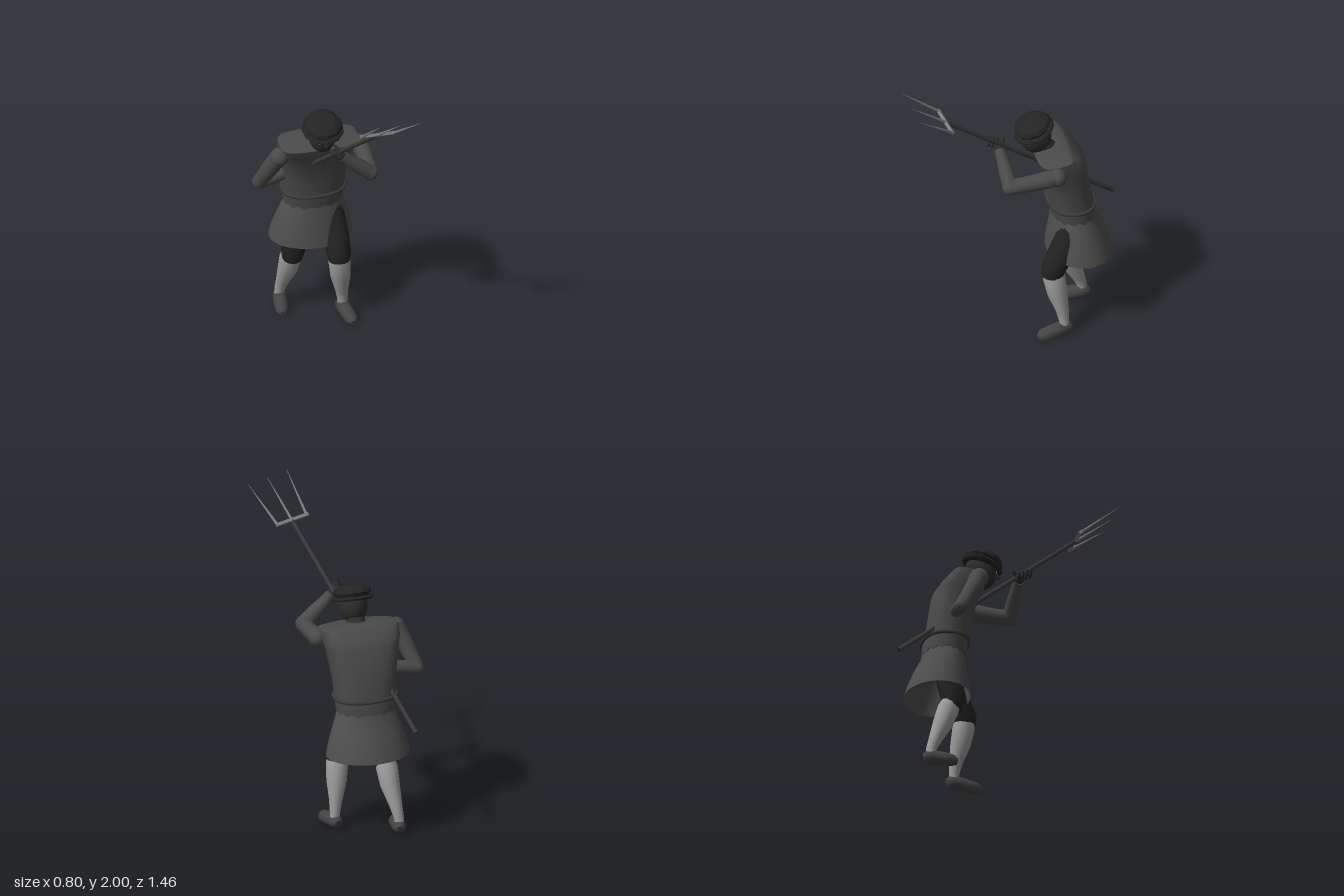
import * as THREE from 'three';
import { toCreasedNormals } from 'three/addons/utils/BufferGeometryUtils.js';

const V = (p) => new THREE.Vector3(...p);

const makeMat = (name, color, side = THREE.FrontSide) => {
  const m = new THREE.MeshStandardMaterial({ color, side });
  m.name = name;
  return m;
};

// Skin a stack of rings, optionally closing both ends
function skin(rings, caps = true) {
  const n = rings[0].length, pos = [], idx = [];
  rings.forEach((r) => r.forEach((p) => pos.push(p.x, p.y, p.z)));
  for (let i = 0; i < rings.length - 1; i++) {
    for (let j = 0; j < n; j++) {
      const k = (j + 1) % n, a = i * n + j, b = i * n + k;
      idx.push(a, b, a + n, b, b + n, a + n);
    }
  }
  if (caps) {
    [0, rings.length - 1].forEach((i, end) => {
      const c = new THREE.Vector3();
      rings[i].forEach((p) => c.addScaledVector(p, 1 / n));
      const m = pos.length / 3;
      pos.push(c.x, c.y, c.z);
      for (let j = 0; j < n; j++) {
        const a = i * n + j, b = i * n + ((j + 1) % n);
        if (end) idx.push(m, a, b); else idx.push(m, b, a);
      }
    });
  }
  const g = new THREE.BufferGeometry();
  g.setAttribute('position', new THREE.Float32BufferAttribute(pos, 3));
  g.setIndex(idx);
  return toCreasedNormals(g, 0.85);
}

// Round limb through rows of [x, y, z, radius]
function limb(rows, sides = 12, floor = -1) {
  const pts = rows.map((r) => V(r.slice(0, 3)));
  const last = pts.length - 1;
  const d = pts[last].clone().sub(pts[0]).toArray().map(Math.abs);
  const ref = new THREE.Vector3().setComponent(d.indexOf(Math.min(...d)), 1);
  return skin(pts.map((p, i) => {
    const w = pts[Math.min(i + 1, last)].clone().sub(pts[Math.max(i - 1, 0)]).normalize();
    const u = ref.clone().addScaledVector(w, -ref.dot(w)).normalize();
    const v = w.clone().cross(u);
    return Array.from({ length: sides }, (_, j) => {
      const a = (j / sides) * Math.PI * 2;
      const q = p.clone().addScaledVector(u, Math.cos(a) * rows[i][3]).addScaledVector(v, Math.sin(a) * rows[i][3]);
      q.y = Math.max(q.y, floor);
      return q;
    });
  }));
}

// Body section rows: [front y, front z, back y, back z, half width, squareness, hem ripple]
function trunk(rows, sides, caps) {
  return skin(rows.map(([fy, fz, by, bz, hw, e = 1, ripple = 0]) =>
    Array.from({ length: sides }, (_, j) => {
      const a = (j / sides) * Math.PI * 2;
      const pw = (t) => Math.sign(t) * Math.abs(t) ** e;
      const c = pw(Math.cos(a)), s = pw(Math.sin(a));
      return new THREE.Vector3(hw * s, (fy + by) / 2 + c * (fy - by) / 2 + ripple * (j % 2 ? 1 : -1),
        (fz + bz) / 2 + c * (fz - bz) / 2);
    })), caps);
}

export function createModel() {
  const root = new THREE.Group();
  root.name = 'farmerWithPitchfork';
  const cloth = makeMat('tunic cloth', 0x4a4a4a);
  const skirtCloth = makeMat('skirt cloth', 0x4e4e4e, THREE.DoubleSide);
  const dark = makeMat('dark breeches', 0x222222);
  const skinMat = makeMat('dark skin', 0x2c2c2c);
  const hatMat = makeMat('hat felt', 0x242424);
  const sock = makeMat('pale stocking', 0x9c9c9c);
  const leather = makeMat('shoe leather', 0x444444);
  const wood = makeMat('dark wood', 0x3a3a3a);
  const metal = makeMat('fork metal', 0x7c7c7c);
  const add = (name, geo, mat, parent = root) => {
    const m = new THREE.Mesh(geo, mat);
    m.name = name;
    parent.add(m);
    return m;
  };

  // Leaning tunic with a square yoke
  add('tunic', trunk([
    [0.82, -0.265, 0.82, -0.535, 0.185, 0.9, 0.008],
    [0.915, -0.25, 0.915, -0.53, 0.195, 0.85],
    [1.02, -0.235, 1.02, -0.505, 0.2, 0.8],
    [1.2, -0.195, 1.235, -0.47, 0.23, 0.7],
    [1.25, -0.165, 1.28, -0.435, 0.245, 0.6],
    [1.315, -0.145, 1.345, -0.375, 0.25, 0.5],
    [1.33, -0.16, 1.36, -0.355, 0.17, 0.6],
    [1.335, -0.2, 1.355, -0.3, 0.07, 0.9],
  ], 28, true), cloth);

  // Flared open skirt
  add('skirt', trunk([
    [0.84, -0.275, 0.84, -0.53, 0.17],
    [0.8, -0.268, 0.8, -0.54, 0.19],
    [0.7, -0.255, 0.7, -0.59, 0.225],
    [0.6, -0.24, 0.6, -0.632, 0.255],
    [0.54, -0.235, 0.54, -0.65, 0.267],
  ].reverse(), 32, false), skirtCloth);

  // Rope belt
  const loop = Array.from({ length: 20 }, (_, i) => {
    const a = (i / 20) * Math.PI * 2;
    const p = (t) => Math.sign(t) * Math.abs(t) ** 0.85;
    return new THREE.Vector3(0.197 * p(Math.sin(a)), 0.912, -0.39 + 0.142 * p(Math.cos(a)));
  });
  add('belt', new THREE.TubeGeometry(new THREE.CatmullRomCurve3(loop, true), 48, 0.013, 8, true), wood);

  // Legs: the left one steps forward
  const legs = {
    left: {
      thigh: [[0.1, 0.82, -0.385, 0.06], [0.115, 0.7, -0.345, 0.078], [0.125, 0.56, -0.285, 0.083], [0.13, 0.47, -0.243, 0.077], [0.132, 0.43, -0.24, 0.066]],
      shin: [[0.13, 0.46, -0.243, 0.062], [0.135, 0.41, -0.25, 0.07], [0.145, 0.3, -0.268, 0.064], [0.16, 0.18, -0.295, 0.042], [0.168, 0.1, -0.305, 0.032], [0.17, 0.05, -0.305, 0.032]],
      foot: [[0.163, 0.04, -0.35, 0.025], [0.165, 0.045, -0.335, 0.04], [0.17, 0.048, -0.295, 0.045], [0.182, 0.035, -0.22, 0.046], [0.192, 0.026, -0.16, 0.04], [0.196, 0.02, -0.13, 0.02]],
    },
    right: {
      thigh: [[-0.1, 0.82, -0.41, 0.06], [-0.115, 0.7, -0.4, 0.078], [-0.13, 0.56, -0.375, 0.08], [-0.135, 0.47, -0.362, 0.075], [-0.137, 0.41, -0.372, 0.064]],
      shin: [[-0.137, 0.45, -0.375, 0.06], [-0.142, 0.4, -0.395, 0.069], [-0.15, 0.3, -0.43, 0.063], [-0.17, 0.18, -0.48, 0.042], [-0.182, 0.1, -0.51, 0.032], [-0.184, 0.05, -0.51, 0.032]],
      foot: [[-0.175, 0.04, -0.555, 0.025], [-0.177, 0.045, -0.54, 0.04], [-0.181, 0.048, -0.5, 0.045], [-0.193, 0.035, -0.43, 0.046], [-0.2, 0.026, -0.375, 0.04], [-0.203, 0.02, -0.345, 0.02]],
    },
  };
  for (const [side, l] of Object.entries(legs)) {
    add(side + 'Breeches', limb(l.thigh, 14), dark);
    add(side + 'Stocking', limb(l.shin, 14), sock);
    add(side + 'Shoe', limb(l.foot, 12, 0), leather);
  }

  // Sleeves with rounded shoulders and elbows
  const arms = {
    left: {
      shoulder: [0.26, 1.268, -0.24, 0.06],
      upper: [[0.255, 1.268, -0.26, 0.057], [0.262, 1.262, -0.15, 0.056], [0.258, 1.25, -0.03, 0.05], [0.25, 1.242, 0.06, 0.05]],
      elbow: [0.25, 1.24, 0.062, 0.05],
      fore: [[0.25, 1.24, 0.062, 0.049], [0.18, 1.3, 0.068, 0.047], [0.11, 1.36, 0.075, 0.039], [0.062, 1.405, 0.082, 0.033]],
    },
    right: {
      shoulder: [-0.26, 1.265, -0.22, 0.06],
      upper: [[-0.255, 1.275, -0.22, 0.058], [-0.295, 1.19, -0.255, 0.056], [-0.335, 1.09, -0.305, 0.049], [-0.355, 1.025, -0.345, 0.045]],
      elbow: [-0.355, 1.02, -0.347, 0.045],
      fore: [[-0.355, 1.02, -0.347, 0.045], [-0.27, 1.04, -0.35, 0.045], [-0.18, 1.055, -0.355, 0.038]],
    },
  };
  for (const [side, a] of Object.entries(arms)) {
    for (const joint of ['shoulder', 'elbow']) {
      const [x, y, z, r] = a[joint];
      add(side + (joint === 'elbow' ? 'Elbow' : 'Shoulder'), new THREE.SphereGeometry(r, 14, 10), cloth).position.set(x, y, z);
    }
    add(side + 'UpperSleeve', limb(a.upper), cloth);
    add(side + 'LowerSleeve', limb(a.fore), cloth);
  }

  // Hands: the left one curls its fingers over the shaft
  add('leftPalm', limb([[0.085, 1.39, 0.08, 0.024], [0.05, 1.415, 0.085, 0.03], [0.022, 1.43, 0.09, 0.028], [0.008, 1.435, 0.092, 0.012]], 8), skinMat);
  for (let i = 0; i < 4; i++) {
    const z = 0.07 + i * 0.025, y = 1.415 + i * 0.008;
    add('leftFinger', limb([[0.04, y - 0.01, z, 0.012], [0.008, y, z + 0.006, 0.01], [-0.008, y + 0.025, z + 0.006, 0.008], [0.01, y + 0.04, z + 0.004, 0.006]], 6), skinMat);
  }
  add('leftThumb', limb([[0.045, 1.42, 0.07, 0.012], [0.035, 1.455, 0.05, 0.011], [0.02, 1.465, 0.045, 0.006]], 6), skinMat);
  add('rightHand', limb([[-0.19, 1.053, -0.355, 0.028], [-0.13, 1.06, -0.36, 0.035], [-0.08, 1.065, -0.36, 0.02]], 8), skinMat);

  // Neck and head
  add('neck', limb([[0, 1.29, -0.27, 0.065], [0, 1.34, -0.215, 0.056], [0, 1.4, -0.185, 0.055]]), skinMat);
  const head = add('head', new THREE.SphereGeometry(1, 18, 14), skinMat);
  head.scale.set(0.088, 0.118, 0.102);
  head.position.set(0, 1.425, -0.165);
  add('nose', limb([[0, 1.425, -0.07, 0.007], [0, 1.395, -0.055, 0.013], [0, 1.385, -0.06, 0.006]], 6), skinMat);
  for (const s of [-1, 1]) {
    const eye = add('eye', new THREE.SphereGeometry(1, 8, 6), sock);
    eye.scale.set(0.013, 0.006, 0.004);
    eye.position.set(s * 0.036, 1.412, -0.072);
  }

  // Faceted cap tipped down over the brow
  const hat = new THREE.Group();
  hat.name = 'hat';
  hat.position.set(0, 1.468, -0.157);
  hat.rotation.x = 0.33;
  root.add(hat);
  const facet = (pts) => toCreasedNormals(new THREE.LatheGeometry(pts.map((p) => new THREE.Vector2(...p)), 11), 0.3);
  add('brim', facet([[0, -0.01], [0.125, -0.012], [0.134, 0], [0.125, 0.012], [0, 0.014]]), hatMat, hat);
  add('crown', facet([[0.098, 0], [0.122, 0.035], [0.112, 0.06], [0.075, 0.08], [0, 0.085]]), hatMat, hat);

  // Pitchfork: shaft, crossbar and three tapering tines
  const fork = new THREE.Group();
  fork.name = 'pitchfork';
  root.add(fork);
  add('shaft', limb([[-0.223, 0.75, -0.718, 0.016], [0.185, 1.768, 0.46, 0.014]], 8), wood, fork);
  add('crossbar', limb([[0.075, 1.787, 0.478, 0.014], [0.295, 1.757, 0.442, 0.014]], 4), metal, fork);
  [
    [[0.085, 1.785, 0.477], [0.132, 2, 0.727]],
    [[0.187, 1.77, 0.46], [0.267, 1.975, 0.702]],
    [[0.287, 1.758, 0.444], [0.4, 1.952, 0.676]],
  ].forEach(([a, b]) => add('tine', limb([[...a, 0.01], [...b, 0.001]], 6), metal, fork));

  return root;
}
